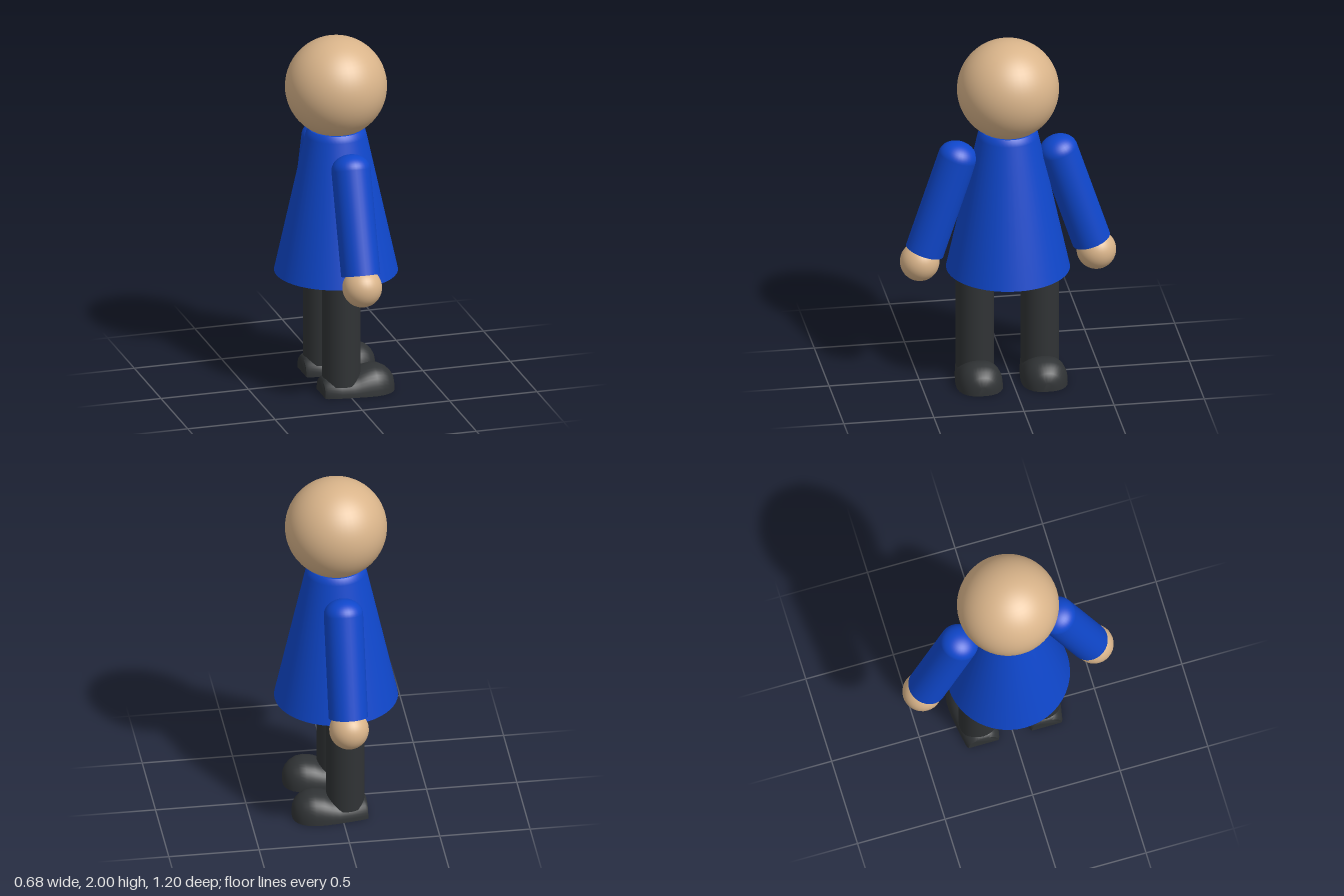
import * as THREE from 'three';
import { toCreasedNormals } from 'three/addons/utils/BufferGeometryUtils.js';

const skin = new THREE.MeshStandardMaterial({ color: 0xd9b48a });
const blue = new THREE.MeshStandardMaterial({ color: 0x0f47cc });
const dark = new THREE.MeshStandardMaterial({ color: 0x303335 });

function add(parent, name, geometry, material, x = 0, y = 0, z = 0) {
  const mesh = new THREE.Mesh(geometry, material);
  mesh.name = name;
  mesh.position.set(x, y, z);
  parent.add(mesh);
  return mesh;
}

function lathe(points, segments = 48) {
  const profile = points.map(([r, y]) => new THREE.Vector2(r, y));
  return toCreasedNormals(new THREE.LatheGeometry(profile, segments), 0.6);
}

// Shoe: domed cross-sections [x, half width, height] running from heel to toe
function shoeGeometry() {
  const stations = [
    [-0.14, 0.085, 0.085], [-0.125, 0.094, 0.1], [-0.05, 0.108, 0.101], [0.02, 0.118, 0.105],
    [0.06, 0.123, 0.12], [0.1, 0.127, 0.138], [0.15, 0.127, 0.147], [0.19, 0.12, 0.142],
    [0.225, 0.103, 0.124], [0.25, 0.08, 0.1], [0.264, 0.053, 0.075], [0.27, 0.025, 0.05],
  ];
  const n = 20, ring = n + 1, positions = [], index = [];
  for (const [x, w, h] of stations) {
    for (let j = 0; j <= n; j++) {
      const a = Math.PI * j / n, c = Math.cos(a);
      const s = Math.max(0, Math.sin(a));
      positions.push(x, h * s ** 0.85, w * Math.sign(c) * Math.abs(c) ** 0.85);
    }
  }
  const last = (stations.length - 1) * ring;
  for (let i = 0; i < stations.length - 1; i++) {
    for (let j = 0; j < ring; j++) {
      const k = (j + 1) % ring;
      const a = i * ring + j, b = a + ring, c = i * ring + k, d = c + ring;
      index.push(a, b, c, b, d, c);
    }
  }
  for (let j = 1; j < n; j++) {
    index.push(0, j, j + 1, last, last + j + 1, last + j);
  }
  const geometry = new THREE.BufferGeometry();
  geometry.setAttribute('position', new THREE.Float32BufferAttribute(positions, 3));
  geometry.setIndex(index);
  return toCreasedNormals(geometry, 0.8);
}

export function createModel() {
  const model = new THREE.Group();
  model.name = 'figure';
  const body = new THREE.Group();
  body.name = 'body';
  body.position.z = 0.007;
  model.add(body);

  add(body, 'head', new THREE.SphereGeometry(0.28, 48, 32), skin, 0, 1.72, 0);

  // Flared coat with a rounded collar and a narrow hem rim
  add(body, 'coat', lathe([
    [0.29, 0.65], [0.34, 0.65], [0.168, 1.44], [0.162, 1.462], [0.15, 1.477], [0.135, 1.48], [0, 1.48],
  ]), blue);
  add(body, 'hips', lathe([[0, 0.62], [0.2, 0.622], [0.3, 0.652]]), dark);

  const shoe = shoeGeometry();
  const radius = 0.108, shoulderY = 1.328, shoulderZ = 0.28;
  const length = 0.58, tilt = 0.32;

  for (const side of [1, -1]) {
    const label = side > 0 ? 'right' : 'left';

    add(body, label + 'Leg', new THREE.CylinderGeometry(0.105, 0.105, 0.57, 32), dark, -0.025, 0.345, side * 0.18);
    add(body, label + 'Shoe', shoe, dark, 0, 0, side * 0.18);

    // Arm hangs from the shoulder and leans outward
    const arm = new THREE.Group();
    arm.name = label + 'Arm';
    arm.position.set(0, shoulderY, side * shoulderZ);
    arm.rotation.x = -side * tilt;
    body.add(arm);
    add(arm, label + 'Sleeve', new THREE.CylinderGeometry(radius, radius, length, 32), blue, 0, -length / 2, 0);
    const dome = new THREE.SphereGeometry(radius, 32, 12, 0, Math.PI * 2, 0, Math.PI / 2);
    add(arm, label + 'Shoulder', dome, blue).scale.y = 0.8;

    add(body, label + 'Hand', new THREE.SphereGeometry(0.109, 32, 24), skin, 0, 0.715, side * 0.49);
  }
  return model;
}
